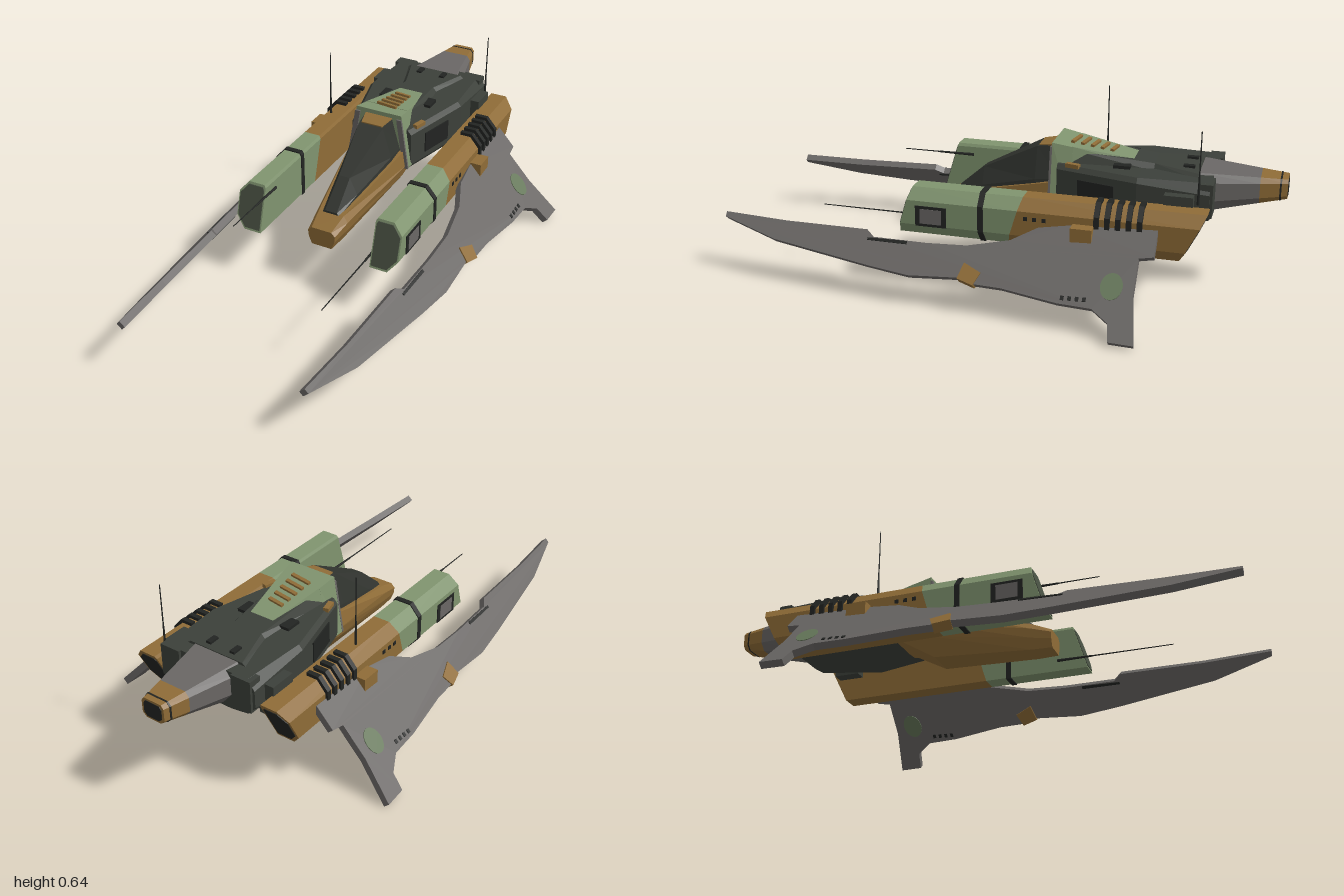
import * as THREE from 'three';

const paint = (name, color) => Object.assign(new THREE.MeshStandardMaterial({ color }), { name });

export function createModel() {
  const ship = new THREE.Group();
  ship.name = 'starfighter';
  const green = paint('sage green', 0x80946f);
  const brown = paint('ochre brown', 0x8f6c37);
  const grey = paint('wing grey', 0x6a6765);
  const dark = paint('hull charcoal', 0x3c403a);
  const glass = paint('canopy glass', 0x31342f);
  const black = paint('vent black', 0x222422);
  const moss = paint('moss green', 0x66785a);
  const panel = paint('deep green', 0x485042);

  // ---- helpers ----
  function add(name, geo, mat) {
    const mesh = new THREE.Mesh(geo, mat);
    mesh.name = name;
    ship.add(mesh);
  }

  // adds a +x part and its reflection, with the corner order reversed
  function addPair(name, source, mat) {
    const geo = source.index ? source.toNonIndexed() : source;
    const other = geo.clone().scale(-1, 1, 1);
    for (const key of ['position', 'normal']) {
      const a = other.attributes[key];
      const n = geo.attributes[key];
      for (let i = 0; i < a.count; i += 3) {
        for (const [to, from] of [[1, 2], [2, 1]]) {
          a.setXYZ(i + to, -n.getX(i + from), n.getY(i + from), n.getZ(i + from));
        }
      }
    }
    add(name + 'Left', geo, mat);
    add(name + 'Right', other, mat);
  }

  // flat-faced loft; sections run back to front, corners anticlockwise from the front
  function loft(sections) {
    const out = [];
    const n = sections[0].length;
    for (let s = 0; s + 1 < sections.length; s++) {
      const a = sections[s], b = sections[s + 1];
      for (let i = 0; i < n; i++) {
        const j = (i + 1) % n;
        out.push(...a[i], ...a[j], ...b[j], ...a[i], ...b[j], ...b[i]);
      }
    }
    const back = sections[0], front = sections[sections.length - 1];
    for (let i = 1; i + 1 < n; i++) {
      out.push(...front[0], ...front[i], ...front[i + 1], ...back[0], ...back[i + 1], ...back[i]);
    }
    const geo = new THREE.BufferGeometry();
    geo.setAttribute('position', new THREE.Float32BufferAttribute(out, 3));
    geo.computeVertexNormals();
    return geo;
  }

  // symmetric section from its +x half, bottom to top
  const sym = (z, ...half) => [
    ...half.map(([x, y]) => [x, y, z]),
    ...[...half].reverse().map(([x, y]) => [-x, y, z]),
  ];
  const mix = (a, b, t) => a.map((p, i) => p.map((v, k) => v + (b[i][k] - v) * t));
  const box = (w, h, d, x, y, z, rx = 0, ry = 0) =>
    new THREE.BoxGeometry(w, h, d).rotateY(ry).rotateX(rx).translate(x, y, z);

  // ---- main body ----
  add('mainBody', loft([
    sym(-0.75, [0.1, 0.3], [0.17, 0.31], [0.2, 0.345], [0.2, 0.41], [0.17, 0.445]),
    sym(-0.5, [0.12, 0.285], [0.19, 0.285], [0.2, 0.3], [0.2, 0.43], [0.185, 0.447]),
    sym(-0.2, [0.08, 0.285], [0.115, 0.285], [0.125, 0.3], [0.125, 0.43], [0.11, 0.447]),
  ]), dark);
  add('bodySpine', loft([
    sym(-0.7, [0.13, 0.44], [0.11, 0.455]),
    sym(-0.54, [0.08, 0.44], [0.06, 0.462]),
    sym(-0.25, [0.1, 0.44], [0.08, 0.49]),
  ]), dark);
  addPair('nacelleArm', box(0.06, 0.12, 0.1, 0.205, 0.35, -0.65), dark);
  addPair('rearBulkhead', box(0.08, 0.12, 0.05, 0.15, 0.385, -0.735), dark);
  addPair('sideLouvre', box(0.008, 0.08, 0.14, 0.163, 0.365, -0.35, 0, -0.245), black);
  addPair('topVent', box(0.07, 0.012, 0.06, 0.075, 0.452, -0.43), black);
  addPair('deckRib', box(0.02, 0.015, 0.04, 0.05, 0.457, -0.66), black);
  addPair('deckClip', box(0.02, 0.015, 0.05, 0.13, 0.45, -0.26, 0, -0.245), brown);

  // ---- tail ----
  const tailRoot = sym(-0.7, [0.07, 0.3], [0.112, 0.35], [0.112, 0.42], [0.09, 0.452]);
  const tailTip = sym(-1, [0.03, 0.365], [0.046, 0.38], [0.046, 0.425], [0.036, 0.438]);
  const tailJoin = mix(tailRoot, tailTip, 0.69);
  add('tail', loft([tailJoin, tailRoot]), grey);
  add('tailTip', loft([tailTip, tailJoin]), brown);
  const swell = (sec, s, dz = 0) => sec.map(([x, y, z]) => [x * s, 0.4 + (y - 0.4) * s, z + dz]);
  add('tailSeam', loft([0.93, 0.91].map(t => swell(mix(tailRoot, tailTip, t), 1.03))), black);
  add('tailExhaust', loft([swell(tailTip, 0.8, 0), swell(tailTip, 0.8, 0.004)].map(
    s => s.map(([x, y, z]) => [x, y, z - 0.002]))), black);

  // ---- cockpit ----
  add('noseHull', loft([
    sym(-0.32, [0.05, 0.28], [0.1, 0.285], [0.11, 0.31], [0.1, 0.37]),
    sym(-0.17, [0.06, 0.2], [0.105, 0.265], [0.117, 0.31], [0.107, 0.37]),
    sym(0.2, [0.045, 0.18], [0.062, 0.22], [0.066, 0.255], [0.05, 0.28]),
    sym(0.277, [0.04, 0.18], [0.052, 0.21], [0.055, 0.235], [0.04, 0.25]),
  ]), brown);
  add('canopy', loft([
    sym(-0.2, [0.095, 0.34], [0.092, 0.38], [0.058, 0.498]),
    sym(-0.11, [0.092, 0.32], [0.086, 0.37], [0.05, 0.485]),
    sym(0.1, [0.058, 0.28], [0.052, 0.315], [0.022, 0.378]),
    sym(0.205, [0.04, 0.26], [0.035, 0.275], [0.024, 0.286]),
  ]), glass);
  add('canopyVisor', loft([
    sym(-0.2, [0.07, 0.455], [0.06, 0.503]),
    sym(-0.115, [0.05, 0.455], [0.042, 0.49]),
  ]), brown);

  // ---- green arch and roof plate behind the canopy ----
  add('canopyArch', loft([
    sym(-0.25, [0.127, 0.3], [0.085, 0.503]),
    sym(-0.175, [0.128, 0.3], [0.093, 0.516]),
  ]), green);
  add('roofPlate', loft([
    sym(-0.54, [0.046, 0.435], [0.036, 0.457]),
    sym(-0.245, [0.1, 0.435], [0.085, 0.505]),
  ]), green);
  const trim = z => [[0.108, 0.3, z], [0.129, 0.3, z], [0.096, 0.5, z], [0.076, 0.5, z]];
  addPair('archTrim', loft([trim(-0.176), trim(-0.168)]), grey);
  for (let i = 0; i < 5; i++) {
    const z = -0.245 - i * 0.035;
    add('roofSlat', box(0.085 - i * 0.005, 0.014, 0.013, 0, 0.516 + (z + 0.19) * 0.166, z, -0.164, -0.15), brown);
  }

  // ---- side nacelles ----
  const outline = [[0.222, 0.2], [0.29, 0.2], [0.327, 0.245], [0.327, 0.335],
    [0.292, 0.376], [0.228, 0.376], [0.222, 0.365]];
  const ring = (z0, lean, s = 1) => outline.map(([x, y]) => {
    const yy = 0.288 + (y - 0.288) * s;
    return [0.274 + (x - 0.274) * s, yy, z0 - (yy - 0.2) * lean];
  });
  addPair('nacelleRear', loft([ring(-0.67, 0.5), ring(-0.07, 0.3)]), brown);
  addPair('nacelleFront', loft([ring(-0.07, 0.3), ring(0.335, 0.3)]), green);
  addPair('nacelleFace', loft([ring(0.33, 0.3, 0.9), ring(0.338, 0.3, 0.9)]), panel);
  addPair('nacelleExhaust', loft([ring(-0.673, 0.5, 0.82), ring(-0.666, 0.5, 0.82)]), black);
  addPair('nacelleBand', loft([ring(0.012, 0, 1.05), ring(0.032, 0, 1.05)]), black);
  addPair('nacellePanelFrame', box(0.006, 0.075, 0.115, 0.327, 0.28, 0.205), black);
  addPair('nacellePanel', box(0.009, 0.055, 0.08, 0.327, 0.28, 0.205), grey);
  const rib = z => [[0.26, 0.3], [0.336, 0.3], [0.336, 0.345], [0.298, 0.388], [0.25, 0.388]]
    .map(([x, y]) => [x, y, z]);
  for (let i = 0; i < 5; i++) {
    const z = -0.39 - i * 0.037;
    addPair('coolingRib', loft([rib(z - 0.009), rib(z + 0.009)]), black);
  }
  for (let i = 0; i < 3; i++) {
    addPair('nacellePort', box(0.005, 0.014, 0.014, 0.327, 0.31, -0.14 - i * 0.033), black);
  }
  addPair('wingBracket', box(0.055, 0.06, 0.075, 0.343, 0.28, -0.345), brown);

  // ---- drooping wings: plan outlines in x and z laid on a sloped plane ----
  function onWing(shape, depth) {
    const geo = new THREE.ExtrudeGeometry(shape, { depth, bevelEnabled: false, curveSegments: 10 });
    const p = geo.attributes.position;
    for (let i = 0; i < p.count; i++) {
      const x = p.getX(i), z = p.getY(i), off = depth / 2 - p.getZ(i);
      const y = 0.3 - 1.09 * (x - 0.33) - 0.05 * (z + 0.6);
      p.setXYZ(i, x + 0.737 * off, y + 0.676 * off, z);
    }
    geo.computeVertexNormals();
    return geo;
  }
  const plan = pts => new THREE.Shape(pts.map(([x, z]) => new THREE.Vector2(x, z)));
  addPair('wing', onWing(plan([
    [0.335, 1], [0.348, 1], [0.4, 0.78], [0.45, 0.4], [0.468, 0.24], [0.465, 0.05], [0.478, 0],
    [0.483, -0.1], [0.508, -0.3], [0.515, -0.42], [0.545, -0.48], [0.588, -0.49], [0.592, -0.575],
    [0.48, -0.55], [0.39, -0.55], [0.385, -0.6], [0.32, -0.6], [0.32, -0.3], [0.33, -0.19],
    [0.365, -0.1], [0.385, 0.05], [0.385, 0.2], [0.378, 0.4], [0.36, 0.43], [0.35, 0.75],
  ]), 0.026), grey);
  const spot = new THREE.Shape();
  spot.absellipse(0.46, -0.475, 0.032, 0.038, 0, Math.PI * 2);
  addPair('wingSpot', onWing(spot, 0.031), moss);
  addPair('wingPatch', onWing(plan([[0.428, 0.045], [0.468, 0.06], [0.482, 0], [0.45, -0.02]]), 0.036), brown);
  addPair('wingSlot', onWing(plan([[0.384, 0.27], [0.392, 0.27], [0.387, 0.42], [0.381, 0.42]]), 0.032), black);
  for (let i = 0; i < 4; i++) {
    const z = -0.31 - i * 0.025;
    addPair('wingPort', onWing(plan([[0.49, z], [0.5, z], [0.5, z - 0.012], [0.49, z - 0.012]]), 0.031), black);
  }

  // ---- antennas and forward probes ----
  const rod = (r, len) => new THREE.CylinderGeometry(r * 0.6, r, len, 6).translate(0, len / 2, 0);
  for (const [x, y, z] of [[-0.277, 0.37, -0.305], [0.215, 0.38, -0.715]]) {
    add('antenna', rod(0.003, 0.64 - y).translate(x, y, z), black);
    add('antennaBase', rod(0.005, 0.1).translate(x, y, z), black);
  }
  for (const [x, y, tip] of [[-0.22, 0.335, 0.505], [0.217, 0.24, 0.665]]) {
    add('probe', rod(0.003, tip - 0.22).rotateX(Math.PI / 2).translate(x, y, 0.22), black);
    add('probeBase', rod(0.006, 0.14).rotateX(Math.PI / 2).translate(x, y, 0.22), black);
  }
  return ship;
}
